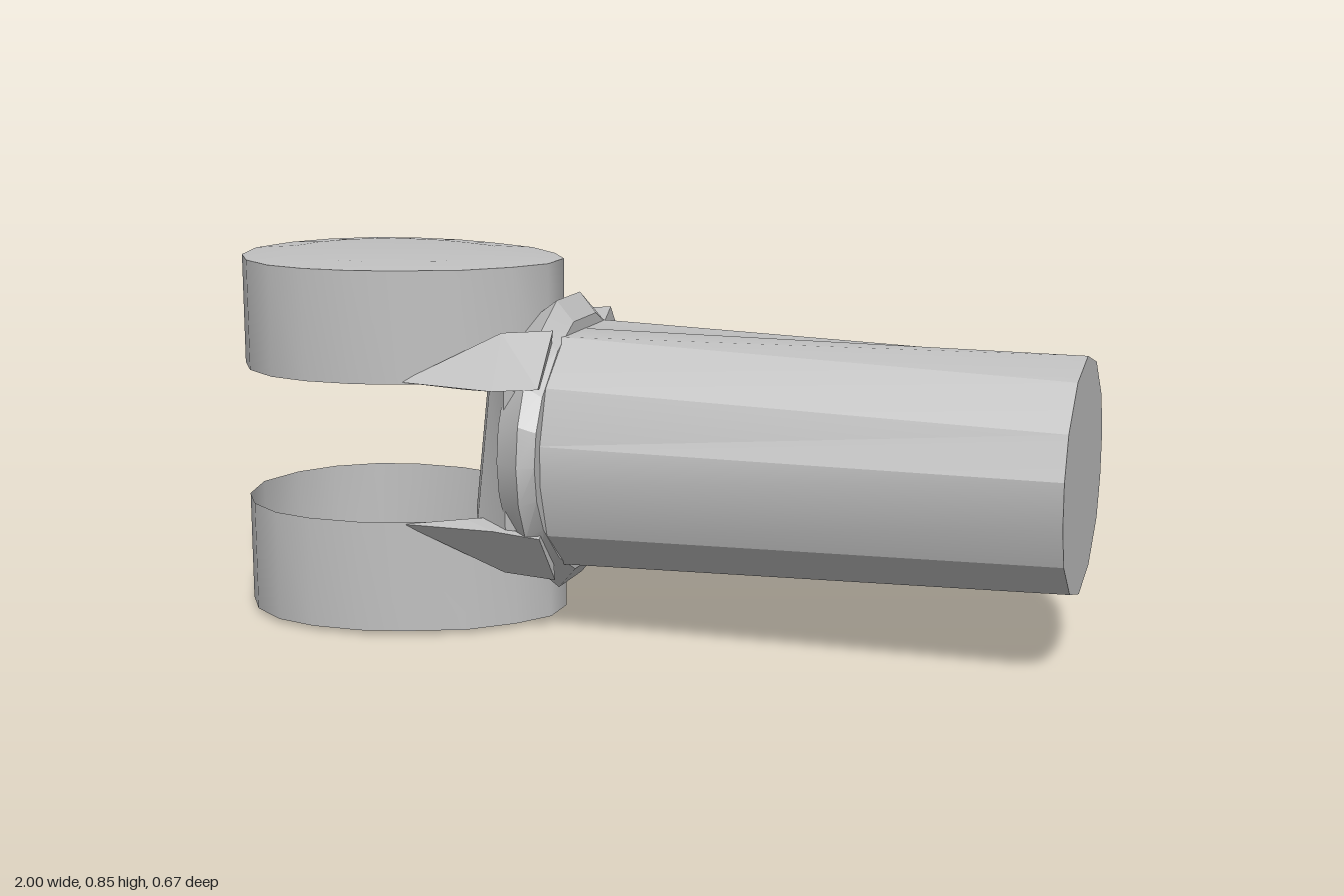
import * as THREE from 'three';
import { toCreasedNormals } from 'three/addons/utils/BufferGeometryUtils.js';
import { ConvexGeometry } from 'three/addons/geometries/ConvexGeometry.js';

const MID = 0.432; // height of the shaft axis

// Skin a list of equal-length point rings; caps fan out from each ring's centre.
function loft(rings, capStart, capEnd, crease) {
  const n = rings[0].length;
  const pos = rings.flat(2);
  const index = [];
  for (let r = 0; r < rings.length - 1; r++) {
    for (let i = 0; i < n; i++) {
      const a = r * n + i, b = r * n + (i + 1) % n;
      index.push(a, b, a + n, b, b + n, a + n);
    }
  }
  const cap = (r, flip) => {
    const c = pos.length / 3;
    for (let k = 0; k < 3; k++) pos.push(rings[r].reduce((s, p) => s + p[k], 0) / n);
    for (let i = 0; i < n; i++) {
      const a = r * n + i, b = r * n + (i + 1) % n;
      if (flip) index.push(c, b, a); else index.push(c, a, b);
    }
  };
  if (capStart) cap(0, true);
  if (capEnd) cap(rings.length - 1, false);
  const g = new THREE.BufferGeometry();
  g.setAttribute('position', new THREE.Float32BufferAttribute(pos, 3));
  g.setIndex(index);
  return toCreasedNormals(g, crease);
}

// Close a half outline by mirroring its second coordinate; points on the axis stay single.
const mirrorOutline = (half) =>
  half.concat(half.filter((p) => p[1] !== 0).reverse().map(([a, b]) => [a, -b]));

export function createModel() {
  const group = new THREE.Group();
  const steel = new THREE.MeshStandardMaterial({ color: 0xc0c0c0, side: THREE.DoubleSide });
  steel.name = 'grey steel';
  const add = (name, geometry) => {
    const mesh = new THREE.Mesh(geometry, steel);
    mesh.name = name;
    group.add(mesh);
  };

  // Shaft: many-sided bar, slightly wider at the fork; outlines are [y, z]
  const shaftRing = (x, half) => mirrorOutline(half).map(([y, z]) => [x, y, z]);
  add('shaft', loft([
    shaftRing(-0.17, [[0.697, 0], [0.697, 0.135], [0.6, 0.25], [0.475, 0.29],
      [0.385, 0.29], [0.262, 0.25], [0.167, 0.135], [0.167, 0]]),
    shaftRing(1, [[0.697, 0], [0.662, 0.135], [0.57, 0.235], [0.475, 0.27],
      [0.375, 0.268], [0.285, 0.235], [0.2, 0.135], [0.166, 0]]),
  ], true, true, 0.35));

  // Collar: flared ring where the shaft meets the fork
  const collarHalf = [[0.338, 0.075], [0.278, 0.18], [0.175, 0.28], [0.09, 0.32], [0, 0.333],
    [-0.09, 0.32], [-0.175, 0.28], [-0.278, 0.18], [-0.338, 0.075]];
  const collarRing = (x, ky, kz) =>
    mirrorOutline(collarHalf).map(([y, z]) => [x, MID + y * ky, z * kz]);
  add('collar', loft([
    collarRing(-0.26, 0.86, 0.86),
    collarRing(-0.195, 1, 1),
    collarRing(-0.155, 0.86, 0.97),
  ], true, true, 0.3));

  // Neck: rounded block between the lugs
  const neckHalf = [[-0.385, 0], [-0.375, 0.1], [-0.33, 0.2], [-0.25, 0.265], [-0.17, 0.27]];
  const neckRing = (y, shift) => mirrorOutline(neckHalf)
    .map(([x, z]) => [x + (x < -0.3 ? shift : 0), y, z]);
  add('neck', loft([neckRing(0.272, -0.015), neckRing(0.592, 0.02)], true, true, 0.3));

  // Lugs: two open cups facing each other, closed on the outside
  const lugHalf = [[-1, 0], [-0.97, 0.125], [-0.91, 0.215], [-0.82, 0.28], [-0.72, 0.305],
    [-0.6, 0.303], [-0.5, 0.275], [-0.37, 0.22], [-0.28, 0.135], [-0.225, 0.05]];
  const lugOutline = mirrorOutline(lugHalf);
  for (const side of [1, -1]) {
    const rim = lugOutline.map(([x, z]) => [x, MID + side * 0.16, z]);
    const edge = lugOutline.map(([x, z]) => [x, MID + side * 0.418, z]);
    const top = lugOutline.map(([x, z]) => [-0.64 + (x + 0.64) * 0.7, MID + side * 0.427, z * 0.7]);
    const rings = side > 0 ? [rim, edge, top] : [top, edge, rim];
    add(side > 0 ? 'upperLug' : 'lowerLug', loft(rings, side < 0, side > 0, 0.6));
  }

  // Gussets: four faceted wedges joining the lugs to the collar
  const wedge = [[-0.5, 0.165, 0.272], [-0.42, 0.19, 0.245], [-0.28, 0.278, 0.2],
    [-0.16, 0.288, 0.19], [-0.16, 0.17, 0.285], [-0.27, 0.16, 0.288],
    [-0.36, 0.15, 0.235], [-0.2, 0.15, 0.12]];
  for (const sy of [1, -1]) {
    for (const sz of [1, -1]) {
      add(`${sy > 0 ? 'upper' : 'lower'}${sz > 0 ? 'Front' : 'Back'}Gusset`, new ConvexGeometry(
        wedge.map(([x, y, z]) => new THREE.Vector3(x, MID + sy * y, sz * z))));
    }
  }
  return group;
}
